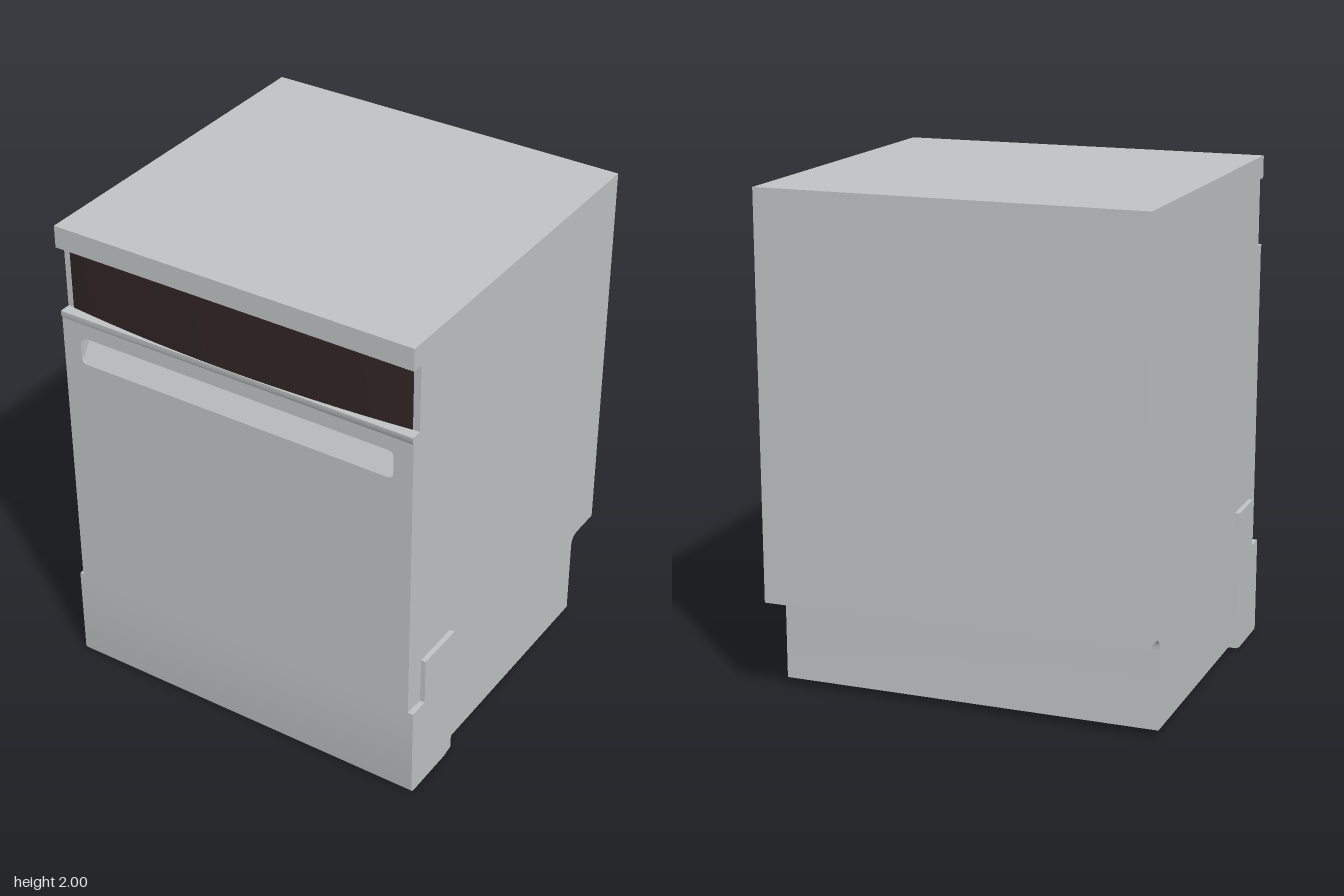
import * as THREE from 'three';
import { toCreasedNormals } from 'three/addons/utils/BufferGeometryUtils.js';

const steel = new THREE.MeshStandardMaterial({ color: 0xbfc3c3 });
steel.name = 'steel grey';
const glass = new THREE.MeshStandardMaterial({ color: 0x302423 });
glass.name = 'dark panel';

function polygon(points) {
  return new THREE.Shape(points.map(([a, b]) => new THREE.Vector2(a, b)));
}

function roundedRect(path, x0, y0, x1, y1, r) {
  path.moveTo(x0 + r, y0);
  path.lineTo(x1 - r, y0);
  path.quadraticCurveTo(x1, y0, x1, y0 + r);
  path.lineTo(x1, y1 - r);
  path.quadraticCurveTo(x1, y1, x1 - r, y1);
  path.lineTo(x0 + r, y1);
  path.quadraticCurveTo(x0, y1, x0, y1 - r);
  path.lineTo(x0, y0 + r);
  path.quadraticCurveTo(x0, y0, x0 + r, y0);
  return path;
}

function extrude(shape, depth) {
  return new THREE.ExtrudeGeometry(shape, { depth, bevelEnabled: false, curveSegments: 16 });
}

// Side profile in (z, y), extruded across the width and centred on x
function acrossWidth(shape, width) {
  const g = extrude(shape, width).rotateY(-Math.PI / 2).translate(width / 2, 0, 0);
  return toCreasedNormals(g, 0.6);
}

export function createModel() {
  const group = new THREE.Group();
  const add = (name, geometry, material = steel) => {
    const mesh = new THREE.Mesh(geometry, material);
    mesh.name = name;
    group.add(mesh);
  };

  // Cabinet: top lip, recessed control band, filleted step at the back
  const cabinet = new THREE.Shape();
  cabinet.moveTo(-0.56, 0.03);
  cabinet.lineTo(0.667, 0.03);
  cabinet.lineTo(0.667, 1.64);
  cabinet.lineTo(0.687, 1.64);
  cabinet.lineTo(0.687, 1.91);
  cabinet.lineTo(0.733, 1.91);
  cabinet.lineTo(0.733, 2);
  cabinet.lineTo(-0.735, 2);
  cabinet.lineTo(-0.735, 0.397);
  cabinet.lineTo(-0.61, 0.397);
  cabinet.quadraticCurveTo(-0.56, 0.397, -0.56, 0.347);
  cabinet.closePath();
  add('cabinet', acrossWidth(cabinet, 1.53));

  // Door with the handle opening cut through it
  const door = polygon([[-0.765, 0.398], [0.765, 0.398], [0.765, 1.64], [-0.765, 1.64]]);
  door.holes.push(roundedRect(new THREE.Path(), -0.685, 1.435, 0.685, 1.55, 0.025));
  add('door', toCreasedNormals(extrude(door, 0.06).translate(0, 0, 0.667), 0.6));

  // Slim ledge along the top of the door
  add('doorLedge', acrossWidth(polygon([
    [0.72, 1.61], [0.727, 1.61], [0.732, 1.618], [0.732, 1.64], [0.72, 1.64],
  ]), 1.53));

  // Sloped floor and roof of the handle pocket
  add('handleSlope', acrossWidth(polygon([[0.667, 1.434], [0.725, 1.434], [0.667, 1.525]]), 1.38));
  add('handleRoof', acrossWidth(polygon([[0.667, 1.525], [0.725, 1.551], [0.667, 1.551]]), 1.38));

  // Control panel bowed outward in plan
  const panel = new THREE.Shape();
  panel.moveTo(-0.737, -0.68);
  panel.lineTo(-0.737, -0.69);
  panel.quadraticCurveTo(0, -0.77, 0.737, -0.69);
  panel.lineTo(0.737, -0.68);
  panel.closePath();
  const panelGeometry = extrude(panel, 0.268).rotateX(-Math.PI / 2).translate(0, 1.641, 0);
  add('controlPanel', toCreasedNormals(panelGeometry, 0.6), glass);

  // Kick plate wrapping the base, with raised tabs at the sides
  const kick = new THREE.Shape();
  kick.moveTo(0.43, 0.012);
  kick.lineTo(0.48, 0);
  kick.lineTo(0.705, 0);
  kick.quadraticCurveTo(0.722, 0, 0.722, 0.017);
  kick.lineTo(0.722, 0.393);
  kick.lineTo(0.64, 0.393);
  kick.lineTo(0.64, 0.59);
  kick.lineTo(0.43, 0.59);
  kick.closePath();
  add('kickPlate', acrossWidth(kick, 1.57));

  return group;
}
